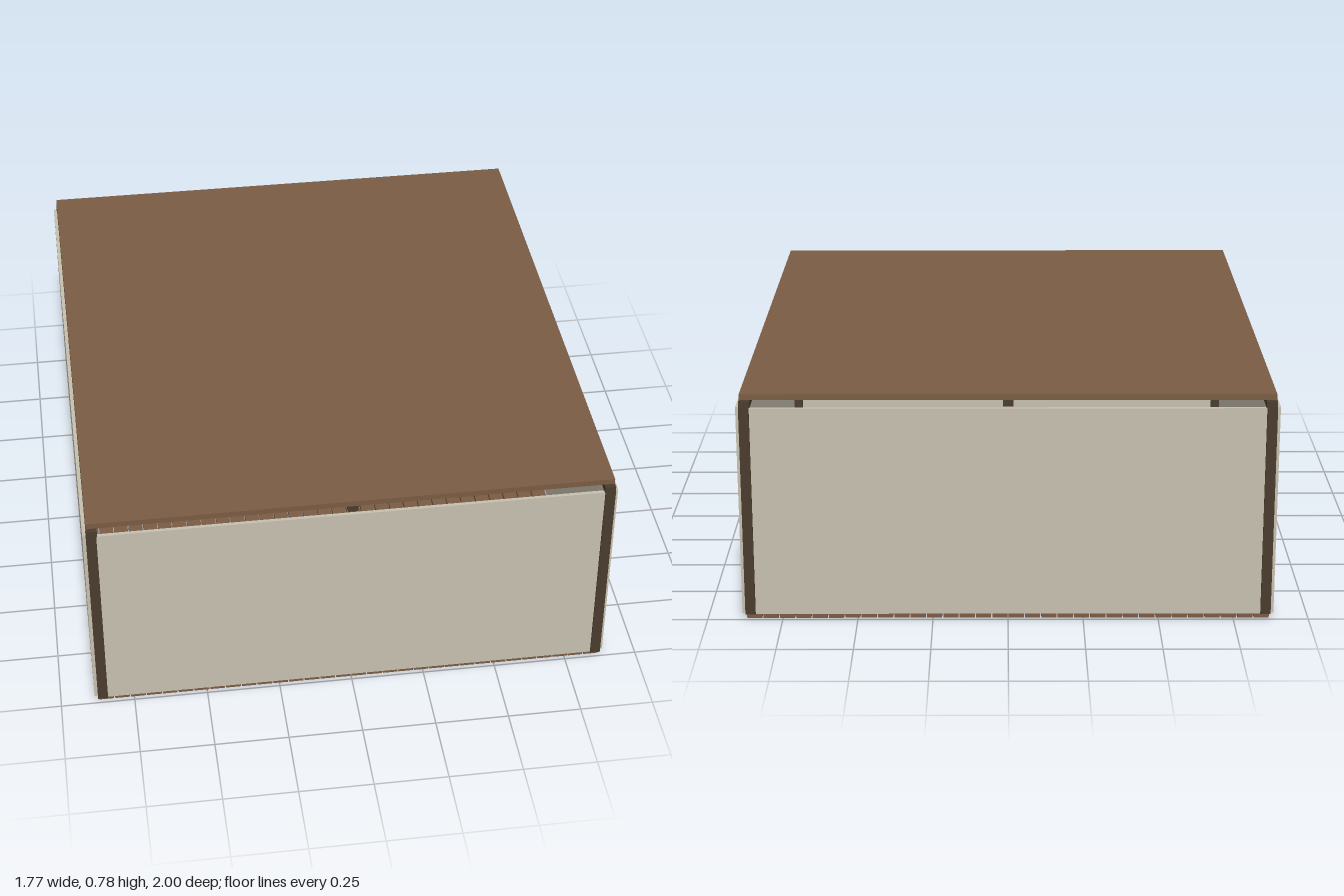
import * as THREE from 'three';

const WOOD = new THREE.MeshStandardMaterial({ color: 0x7a5c43 });
const DARK = new THREE.MeshStandardMaterial({ color: 0x4a3b2e });
const PANEL = new THREE.MeshStandardMaterial({ color: 0xc6c0ae });

export function createModel() {
  const model = new THREE.Group();

  // box given by its min and max along each axis
  const box = (name, material, [x0, x1], [y0, y1], [z0, z1], parent = model) => {
    const mesh = new THREE.Mesh(new THREE.BoxGeometry(x1 - x0, y1 - y0, z1 - z0), material);
    mesh.position.set((x0 + x1) / 2, (y0 + y1) / 2, (z0 + z1) / 2);
    mesh.name = name;
    parent.add(mesh);
  };
  const around = (c, w) => [c - w / 2, c + w / 2];

  // Floor planks with narrow gaps, running front to back
  const floor = new THREE.Group();
  floor.name = 'floor';
  model.add(floor);
  const planks = 32, pitch = 1.744 / planks;
  for (let i = 0; i < planks; i++) {
    const x = -0.872 + (i + 0.5) * pitch;
    box('floorPlank', WOOD, around(x, pitch - 0.004), [0, 0.018], [-0.985, 0.985], floor);
  }

  // Flat roof and its centre beam
  box('roof', WOOD, [-0.872, 0.872], [0.76, 0.78], [-0.983, 0.983]);
  box('centreBeam', DARK, around(0, 0.034), [0.738, 0.76], [-0.983, 0.983]);

  for (const s of [-1, 1]) {
    // Side beams and corner posts
    box('sideBeam', DARK, around(s * 0.855, 0.036), [0.738, 0.76], [-1, 1]);
    for (const t of [-1, 1]) {
      box('cornerPost', DARK, around(s * 0.857, 0.034), [0.018, 0.74], around(t * 0.983, 0.034));
    }
    // Wall panels
    box('sidePanel', PANEL, around(s * 0.879, 0.012), [0.018, 0.737], [-0.985, 0.985]);
    box(s > 0 ? 'frontPanel' : 'backPanel', PANEL, [-0.84, 0.84], [0.018, 0.735], around(s * 0.988, 0.012));
  }
  return model;
}
